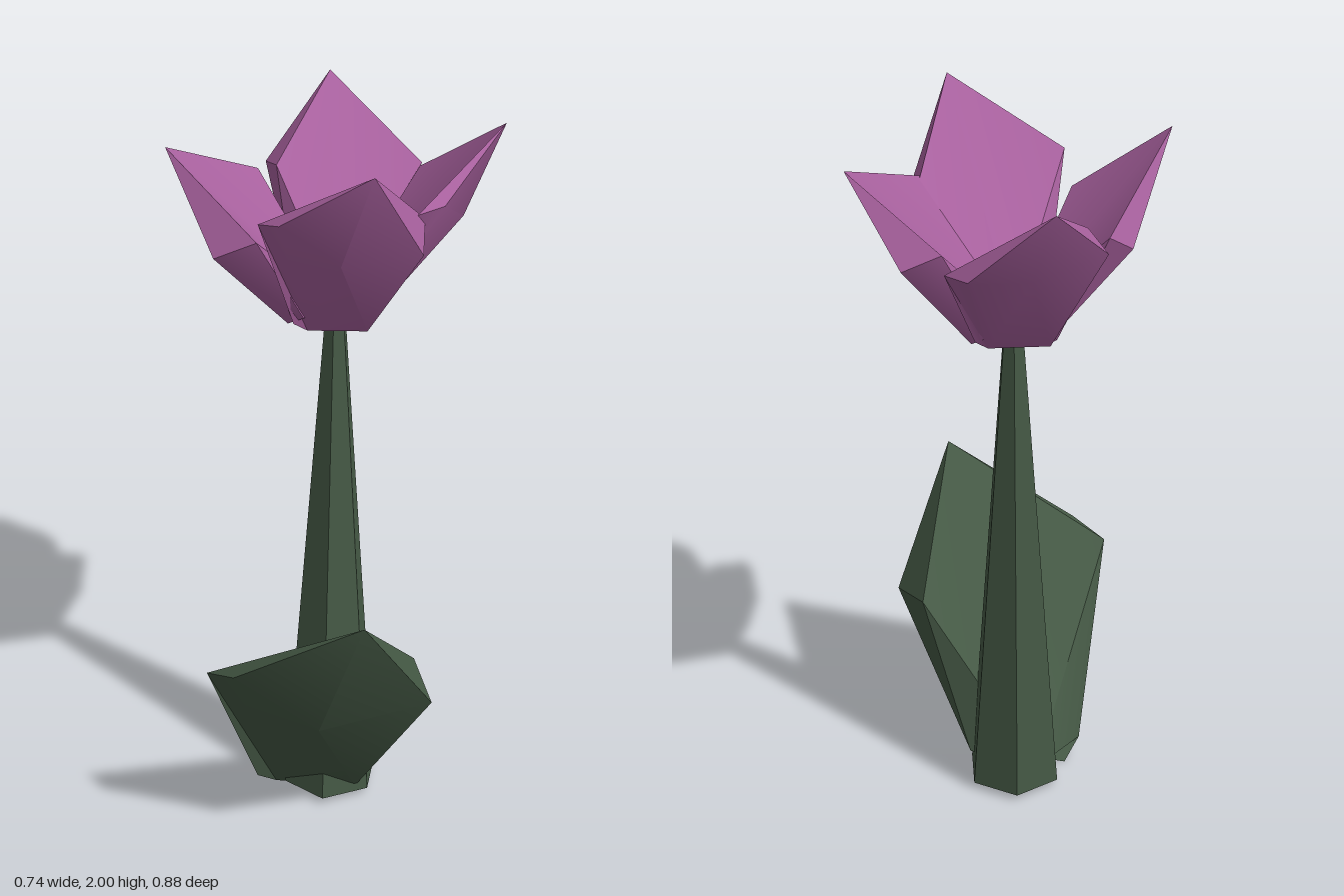
import * as THREE from 'three';
import { toCreasedNormals } from 'three/addons/utils/BufferGeometryUtils.js';

const pink = new THREE.MeshStandardMaterial({ color: 0xaa62a0 });
const green = new THREE.MeshStandardMaterial({ color: 0x465a46 });

// Lower part of a blade: inner root, inner left/right, outer left/right, outer ridge
const BASE = [
  [-0.075, 0.07, -0.055], [-0.16, 0.05, 0.14], [0.12, 0.08, -0.03],
  [-0.13, 0.0, 0.08], [0.10, 0.03, 0.05], [0.13, 0.44, 0.37],
];
// Rim of the leaf: inner left, outer left, tip, outer right, inner right
const LEAF_RIM = [
  [-0.18, 0.56, 0.40], [-0.08, 0.60, 0.445], [0.275, 0.825, 0.41],
  [0.37, 0.47, 0.17], [0.27, 0.51, 0.05],
];
const FACES = [
  0, 1, 6, 0, 6, 8, 0, 8, 10, 0, 10, 2,            // inner cup
  8, 6, 7, 10, 8, 9,                               // rim
  6, 1, 3, 6, 3, 7, 2, 10, 9, 2, 9, 4,             // side edges
  7, 3, 5, 3, 4, 5, 4, 9, 5, 9, 8, 5, 8, 7, 5,     // outer ridge
  4, 3, 1, 4, 1, 0, 4, 0, 2,                       // root
];

// Petals: turn about the stem top in degrees, and the rim in the same order as the leaf
const PETALS = [
  { name: 'frontPetal', turn: 0, rim: [
    [-0.08, 1.82, 0.255], [-0.01, 1.84, 0.285], [0.23, 2.0, 0.26],
    [0.295, 1.74, 0.1], [0.25, 1.78, -0.02]] },
  { name: 'leftPetal', turn: 83.5, rim: [
    [0.25, 1.81, 0.03], [0.30, 1.82, -0.025], [0.36, 1.95, -0.29],
    [0.205, 1.73, -0.365], [0.11, 1.77, -0.335]] },
  { name: 'backPetal', turn: 174, rim: [
    [0.09, 1.75, -0.40], [0.025, 1.75, -0.43], [-0.19, 1.95, -0.44],
    [-0.28, 1.76, -0.225], [-0.215, 1.79, -0.15]] },
  { name: 'rightPetal', turn: 264, rim: [
    [-0.27, 1.77, -0.155], [-0.32, 1.72, -0.10], [-0.37, 1.94, 0.17],
    [-0.215, 1.69, 0.23], [-0.11, 1.74, 0.20]] },
];

function blade(name, points, material) {
  const g = new THREE.BufferGeometry();
  g.setAttribute('position', new THREE.Float32BufferAttribute(points.flat(), 3));
  g.setIndex(FACES);
  const mesh = new THREE.Mesh(toCreasedNormals(g, 0.6), material);
  mesh.name = name;
  return mesh;
}

// Shrinks the blade's lower part and turns it about the top of the stem
function petalBase(turn) {
  const a = THREE.MathUtils.degToRad(turn);
  return BASE.map(([x, y, z]) => new THREE.Vector3(x + 0.075, y, z + 0.054)
    .multiplyScalar(1 / 1.45)
    .applyAxisAngle(new THREE.Vector3(0, 1, 0), a)
    .add(new THREE.Vector3(-0.01, 1.431, -0.06)).toArray());
}

export function createModel() {
  const model = new THREE.Group();
  model.name = 'flower';

  // Six-sided tapering stem, leaning slightly back
  const height = 1.44;
  const stemGeo = new THREE.CylinderGeometry(0.027, 0.135, height, 6, 1, false, Math.PI / 12);
  stemGeo.translate(0, height / 2, 0);
  const p = stemGeo.attributes.position;
  for (let i = 0; i < p.count; i++) {
    const t = p.getY(i) / height;
    p.setXYZ(i, p.getX(i) - 0.01 * t, p.getY(i) + 0.02, p.getZ(i) - 0.06 * t);
  }
  const stem = new THREE.Mesh(toCreasedNormals(stemGeo, 0.6), green);
  stem.name = 'stem';
  model.add(stem);

  model.add(blade('leaf', [...BASE, ...LEAF_RIM], green));

  const blossom = new THREE.Group();
  blossom.name = 'blossom';
  for (const { name, turn, rim } of PETALS) {
    blossom.add(blade(name, [...petalBase(turn), ...rim], pink));
  }
  model.add(blossom);
  return model;
}
